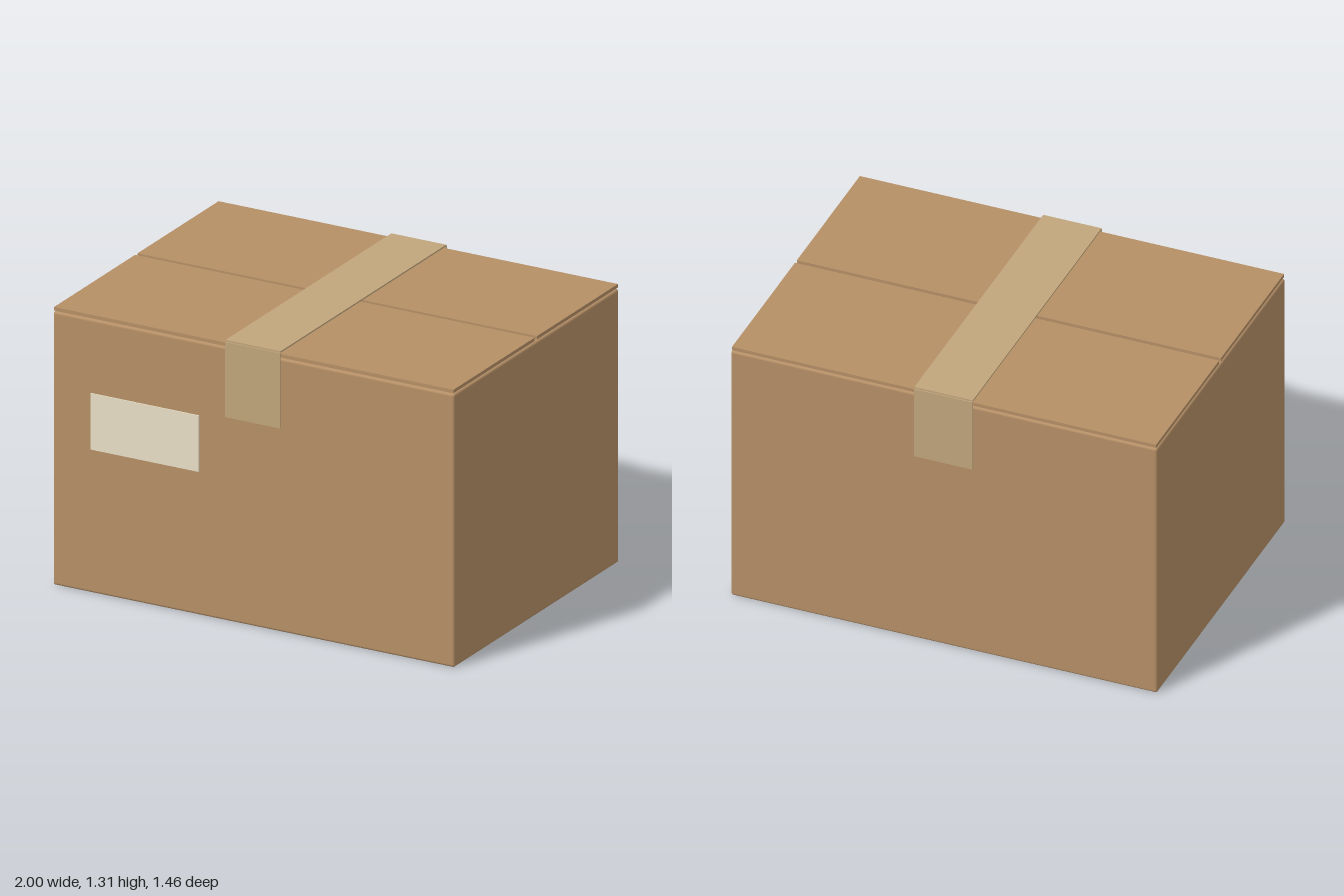
import * as THREE from 'three';
import { RoundedBoxGeometry } from 'three/addons/geometries/RoundedBoxGeometry.js';

const material = (color) => new THREE.MeshStandardMaterial({ color });

export function createModel() {
  const group = new THREE.Group();
  const cardboard = material(0xb58f66);
  const tape = material(0xc0a67c);
  const paper = material(0xe8dfc6);

  // Adds a block given its [min, max] extent on each axis; radius rounds its edges.
  function block(name, mat, [x0, x1], [y0, y1], [z0, z1], radius = 0) {
    const size = [x1 - x0, y1 - y0, z1 - z0];
    const geometry = radius
      ? new RoundedBoxGeometry(...size, 3, radius)
      : new THREE.BoxGeometry(...size);
    const mesh = new THREE.Mesh(geometry, mat);
    mesh.name = name;
    mesh.position.set((x0 + x1) / 2, (y0 + y1) / 2, (z0 + z1) / 2);
    group.add(mesh);
  }

  // Closed carton
  block('cartonBody', cardboard, [-1, 1], [0, 1.272], [-0.724, 0.724], 0.012);

  // Two lid flaps with a narrow seam between them
  block('frontFlap', cardboard, [-0.995, 0.995], [1.277, 1.293], [0.01, 0.722]);
  block('backFlap', cardboard, [-0.995, 0.995], [1.277, 1.293], [-0.722, -0.01]);

  // Packing tape over the lid and down both faces
  const tapeX = [-0.137, 0.137];
  block('topTape', tape, tapeX, [1.301, 1.308], [-0.727, 0.727]);
  block('frontTape', tape, tapeX, [0.95, 1.3], [0.727, 0.732]);
  block('backTape', tape, tapeX, [0.95, 1.3], [-0.732, -0.727]);

  // Blank shipping label
  block('label', paper, [-0.81, -0.27], [0.668, 0.93], [0.724, 0.729]);

  return group;
}
